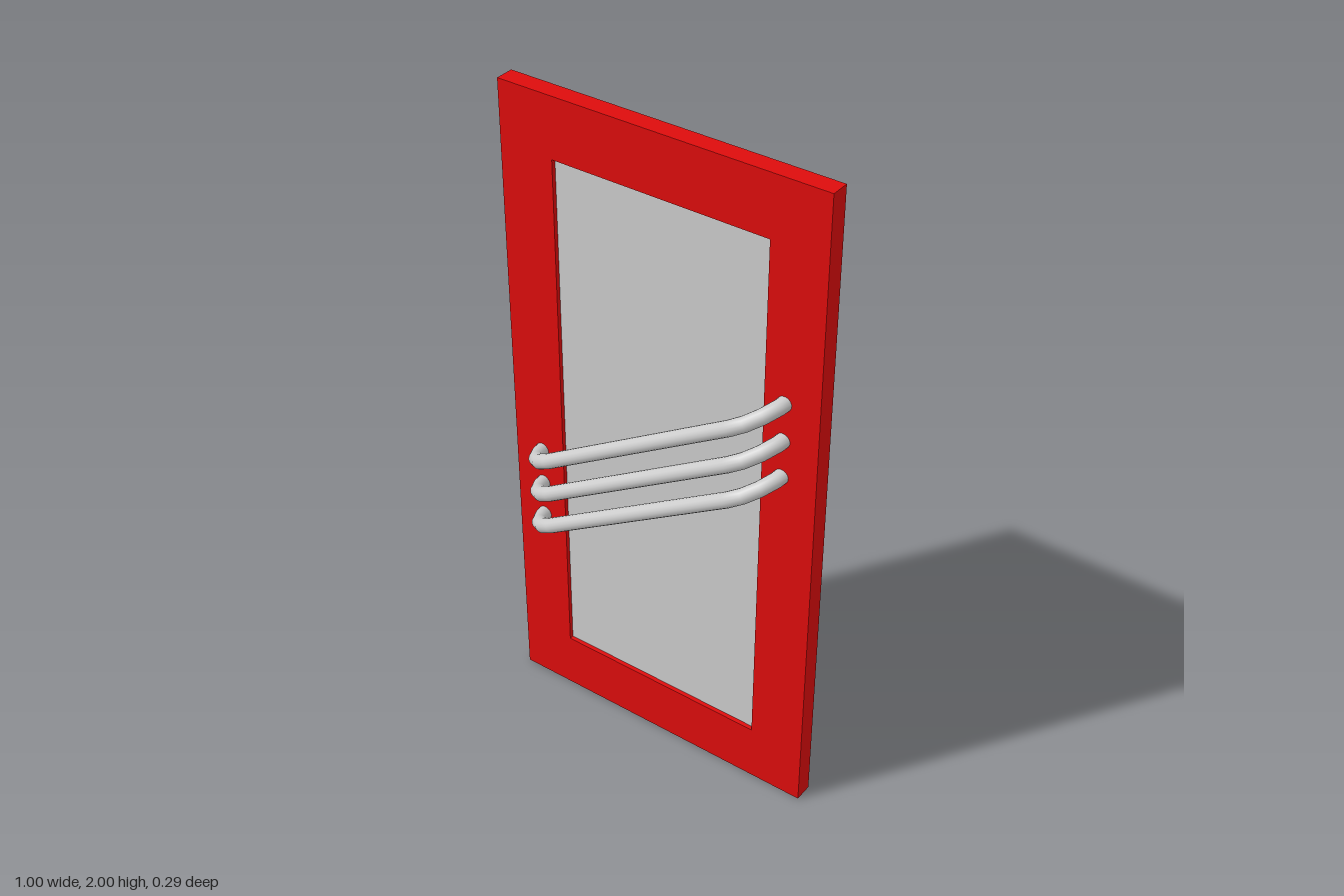
import * as THREE from 'three';

// Closed stadium path in the XZ plane: two straight runs joined by half circles
class StadiumCurve extends THREE.Curve {
  constructor(halfLength, radius, arcSteps) {
    super();
    Object.assign(this, { halfLength, radius, arcSteps });
  }
  locate(t) {
    const n = this.arcSteps, u = (t % 1) * 2 * (n + 1);
    const half = u < n + 1 ? 0 : 1;
    const s = u - half * (n + 1);
    const angle = Math.PI * (Math.min(s / n, 1) - 0.5 + half);
    const run = 1 - 2 * Math.max(s - n, 0); // 1 on the arc, falls to -1 along the run
    return { angle, x: (half ? -1 : 1) * run * this.halfLength };
  }
  getPoint(t, target = new THREE.Vector3()) {
    const { angle, x } = this.locate(t);
    return target.set(x + this.radius * Math.cos(angle), 0, this.radius * Math.sin(angle));
  }
  getPointAt(t, target) { return this.getPoint(t, target); }
  getTangentAt(t, target = new THREE.Vector3()) {
    const { angle } = this.locate(t);
    return target.set(-Math.sin(angle), 0, Math.cos(angle));
  }
}

function rectangle(PathType, x, y0, y1) {
  return new PathType([[-x, y0], [x, y0], [x, y1], [-x, y1]].map(([a, b]) => new THREE.Vector2(a, b)));
}

export function createModel() {
  const model = new THREE.Group();
  model.name = 'door';
  const red = new THREE.MeshStandardMaterial({ color: 0xdd0c0c });
  const grey = new THREE.MeshStandardMaterial({ color: 0xcccccc });

  const add = (name, geometry, material) => {
    const mesh = new THREE.Mesh(geometry, material);
    mesh.name = name;
    model.add(mesh);
    return mesh;
  };

  // Door frame with a rectangular opening
  const depth = 0.056;
  const outline = rectangle(THREE.Shape, 0.5, 0, 2);
  outline.holes.push(rectangle(THREE.Path, 0.332, 0.18, 1.82));
  const frame = new THREE.ExtrudeGeometry(outline, { depth, bevelEnabled: false });
  add('doorFrame', frame.translate(0, 0, -depth / 2), red);

  // Pane set back inside the opening
  add('windowPane', new THREE.BoxGeometry(0.664, 1.64, 0.03), grey).position.y = 1;

  // Three slanted bar handles, looping through the frame to both faces
  const arcSteps = 8;
  const path = new StadiumCurve(0.353, 0.124, arcSteps);
  const bar = new THREE.TubeGeometry(path, 2 * (arcSteps + 1), 0.022, 16, true);
  for (let i = -1; i <= 1; i++) {
    const handle = add('barHandle' + (i + 2), bar, grey);
    handle.position.set(-0.007, 1 + i * 0.115, 0);
    handle.rotation.z = 0.557;
  }
  return model;
}
